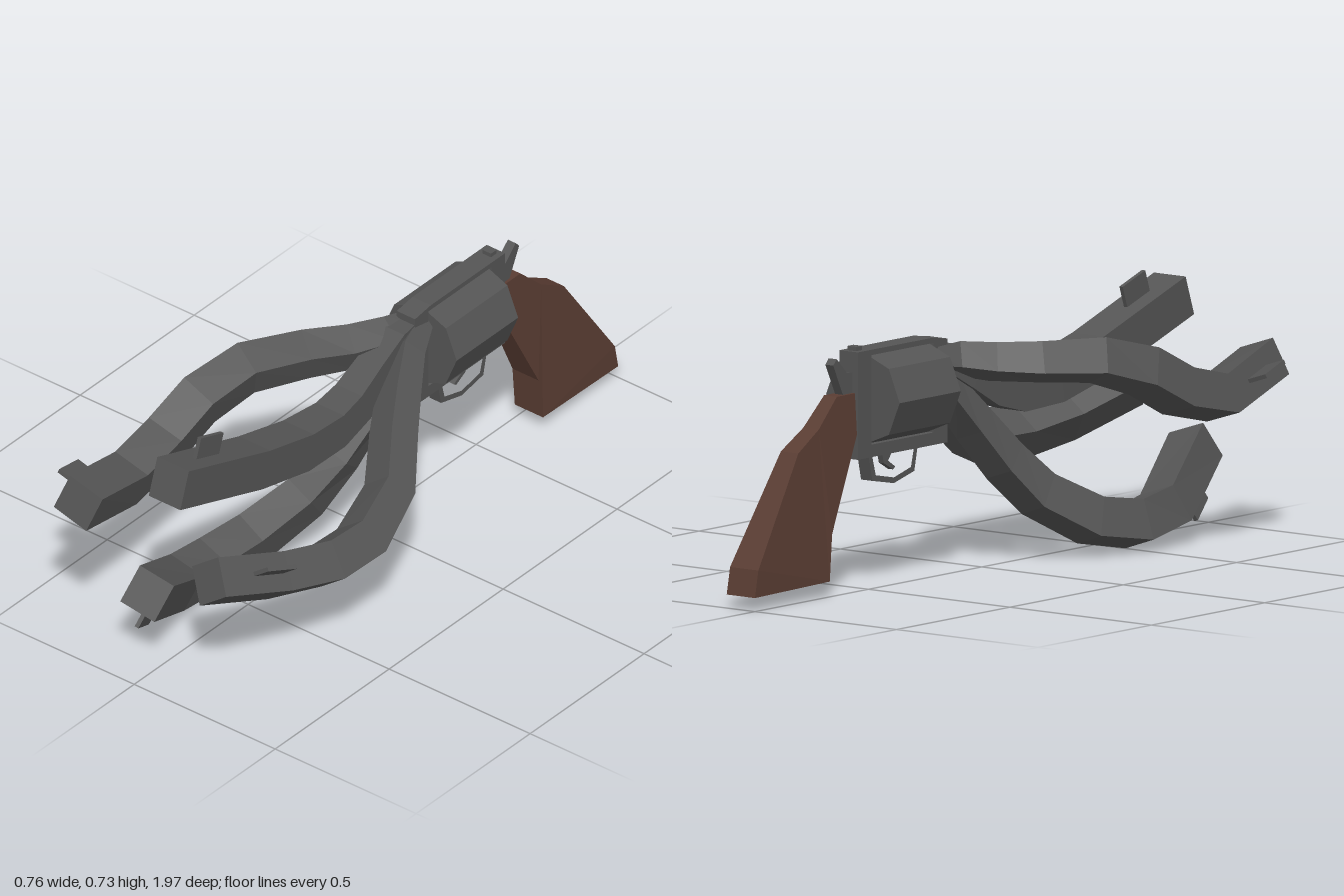
import * as THREE from 'three';

const CX = 0.05; // centre plane of the gun body
const metal = new THREE.MeshStandardMaterial({ color: 0x555555, flatShading: true });
const wood = new THREE.MeshStandardMaterial({ color: 0x5a3d33, flatShading: true });
const V = (x, y, z) => new THREE.Vector3(x, y, z);

// Side profile in [z, y] points, given a width along x
function plate(name, points, width, material = metal, hole = null) {
  const toV2 = (list) => list.map(([z, y]) => new THREE.Vector2(z, y));
  const shape = new THREE.Shape(toV2(points));
  if (hole) shape.holes.push(new THREE.Path(toV2(hole)));
  const geo = new THREE.ExtrudeGeometry(shape, { depth: width, bevelEnabled: false });
  geo.translate(0, 0, -width / 2).rotateY(-Math.PI / 2).translate(CX, 0, 0);
  const mesh = new THREE.Mesh(geo, material);
  mesh.name = name;
  return mesh;
}

// Axes of a square section: side, up, forward
function axes(tangent, up) {
  const side = up.clone().cross(tangent).normalize();
  return [side, tangent.clone().cross(side).normalize(), tangent];
}

// Square bar swept through the path points, growing towards the muzzle
function barrelGeometry(path, up) {
  const pos = [], index = [], n = path.length;
  path.forEach((p, i) => {
    const tangent = path[Math.min(i + 1, n - 1)].clone().sub(path[Math.max(i - 1, 0)]).normalize();
    const [s, u] = axes(tangent, up);
    const grow = THREE.MathUtils.clamp((p.z + 0.19) / 0.6, 0, 1);
    const w = THREE.MathUtils.lerp(0.024, 0.056, Math.sqrt(grow));
    const h = THREE.MathUtils.lerp(0.035, 0.058, Math.sqrt(grow));
    for (const [a, b] of [[1, 1], [-1, 1], [-1, -1], [1, -1]])
      pos.push(...p.clone().addScaledVector(s, a * w).addScaledVector(u, b * h).toArray());
  });
  for (let i = 0; i < n - 1; i++)
    for (let j = 0; j < 4; j++) {
      const a = i * 4 + j, b = i * 4 + (j + 1) % 4;
      index.push(a, b, b + 4, a, b + 4, a + 4);
    }
  const e = (n - 1) * 4;
  index.push(e, e + 1, e + 2, e, e + 2, e + 3, 0, 2, 1, 0, 3, 2);
  const geo = new THREE.BufferGeometry();
  geo.setAttribute('position', new THREE.Float32BufferAttribute(pos, 3));
  geo.setIndex(index);
  const flat = geo.toNonIndexed();
  flat.computeVertexNormals();
  return flat;
}

// Curved barrel with a thin blade sight near its muzzle
function barrel(name, points, up, sightZ) {
  const group = new THREE.Group();
  group.name = name;
  const path = points.map((p) => V(...p));
  const bar = new THREE.Mesh(barrelGeometry(path, up), metal);
  bar.name = 'bar';
  const [p, q] = path.slice(-2);
  const [s, u, t] = axes(q.clone().sub(p).normalize(), up);
  const sight = new THREE.Mesh(new THREE.BoxGeometry(0.012, 0.075, 0.105), metal);
  sight.name = 'frontSight';
  sight.quaternion.setFromRotationMatrix(new THREE.Matrix4().makeBasis(s, u, t));
  sight.position.lerpVectors(p, q, (sightZ - p.z) / (q.z - p.z)).addScaledVector(u, 0.083);
  group.add(bar, sight);
  return group;
}

export function createModel() {
  const model = new THREE.Group();
  model.name = 'bentBarrelRevolver';

  // Frame with a window for the drum
  model.add(plate('frame',
    [[-0.13, 0.35], [-0.13, 0.64], [-0.2, 0.65], [-0.525, 0.65], [-0.525, 0.35]], 0.065, metal,
    [[-0.19, 0.385], [-0.465, 0.385], [-0.465, 0.635], [-0.19, 0.635]]));

  // Eight-sided drum
  const drum = new THREE.Mesh(new THREE.CylinderGeometry(0.13, 0.13, 0.27, 8), metal);
  drum.name = 'drum';
  drum.rotation.x = Math.PI / 2;
  drum.position.set(CX, 0.51, -0.327);
  model.add(drum);

  // Trigger, guard, hammer and rear sight
  model.add(plate('triggerGuard',
    [[-0.245, 0.355], [-0.26, 0.285], [-0.35, 0.262], [-0.445, 0.28], [-0.462, 0.355]], 0.04, metal,
    [[-0.262, 0.35], [-0.275, 0.298], [-0.35, 0.278], [-0.43, 0.294], [-0.446, 0.35]]));
  model.add(plate('trigger',
    [[-0.34, 0.355], [-0.39, 0.355], [-0.38, 0.32], [-0.34, 0.298], [-0.33, 0.305], [-0.362, 0.325]], 0.018));
  model.add(plate('hammer',
    [[-0.51, 0.53], [-0.51, 0.59], [-0.55, 0.595], [-0.595, 0.638], [-0.61, 0.622], [-0.565, 0.53]], 0.028));
  model.add(plate('rearSight', [[-0.485, 0.645], [-0.485, 0.662], [-0.51, 0.662], [-0.51, 0.645]], 0.03));

  // Wooden grip, narrowing towards the frame
  const grip = plate('grip', [[-0.525, 0.42], [-0.525, 0.535], [-0.605, 0.535], [-0.69, 0.455],
    [-0.785, 0.4], [-0.985, 0.1], [-1, 0.025], [-0.67, 0.03], [-0.655, 0.16]], 0.1, wood);
  const gp = grip.geometry.attributes.position;
  for (let i = 0; i < gp.count; i++) {
    const k = THREE.MathUtils.mapLinear(THREE.MathUtils.clamp(gp.getY(i), 0.1, 0.53), 0.1, 0.53, 1, 0.45);
    gp.setX(i, CX + (gp.getX(i) - CX) * k);
  }
  grip.geometry.computeVertexNormals();
  model.add(grip);

  // Four barrels fanning out from the frame
  const start = [CX, 0.585, -0.19];
  model.add(barrel('topBarrel', [start, [CX, 0.575, -0.09], [CX, 0.53, 0], [CX, 0.475, 0.1],
    [CX, 0.45, 0.2], [CX, 0.46, 0.35], [CX, 0.51, 0.55], [CX, 0.633, 0.91]], V(0, 1, 0), 0.765));
  model.add(barrel('rightBarrel', [start, [0.025, 0.58, -0.09], [-0.04, 0.565, 0], [-0.12, 0.56, 0.1],
    [-0.21, 0.555, 0.25], [-0.253, 0.51, 0.4], [-0.27, 0.44, 0.53], [-0.272, 0.4, 0.7],
    [-0.235, 0.468, 0.955]], V(-0.95, 0.3, 0), 0.83));
  model.add(barrel('leftBarrel', [start, [0.08, 0.555, -0.09], [0.13, 0.49, 0], [0.185, 0.42, 0.09],
    [0.26, 0.325, 0.2], [0.305, 0.27, 0.38], [0.3, 0.27, 0.53], [0.26, 0.305, 0.7],
    [0.205, 0.38, 0.925]], V(0.8, 0.6, 0), 0.77));
  model.add(barrel('bottomBarrel', [start, [0.045, 0.49, -0.1], [0.03, 0.385, 0], [0, 0.27, 0.1],
    [-0.04, 0.17, 0.2], [-0.105, 0.085, 0.35], [-0.14, 0.06, 0.5], [-0.13, 0.085, 0.65],
    [-0.035, 0.222, 0.9]], V(-0.32, -0.95, 0), 0.775));
  return model;
}
